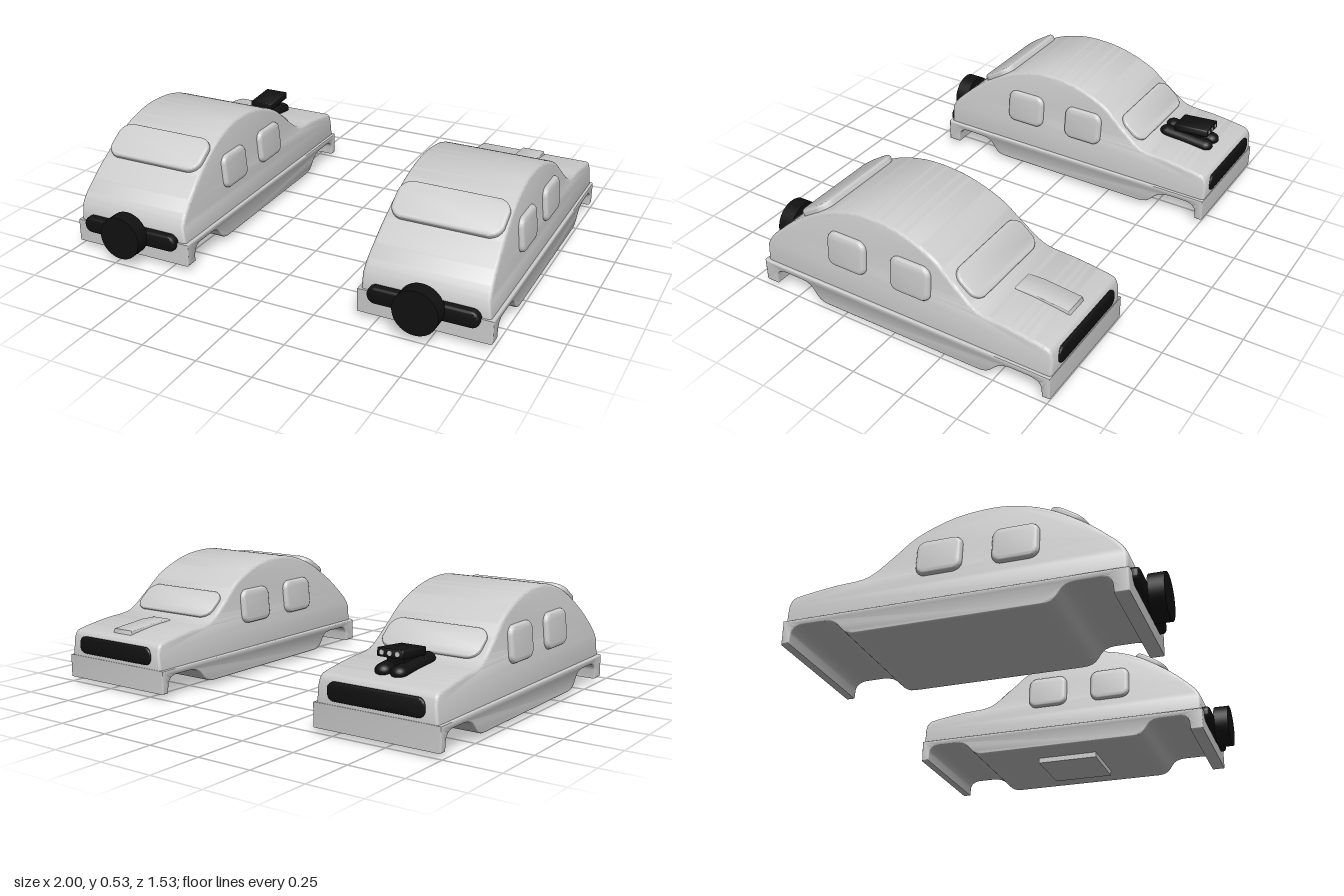
import * as THREE from 'three';
import { toCreasedNormals } from 'three/addons/utils/BufferGeometryUtils.js';

const grey = new THREE.MeshStandardMaterial({ color: 0xcccccc });
const black = new THREE.MeshStandardMaterial({ color: 0x111111 });

function add(parent, name, geometry, x = 0, y = 0, z = 0, material = grey) {
  const mesh = new THREE.Mesh(geometry, material);
  mesh.name = name;
  mesh.position.set(x, y, z);
  parent.add(mesh);
  return mesh;
}

// Extrudes an outline with rounded edges that stay inside it, centred in depth
function slab(shape, depth, bevel) {
  const g = new THREE.ExtrudeGeometry(shape, {
    depth: depth - 2 * bevel, bevelEnabled: true, bevelThickness: bevel, bevelSize: bevel,
    bevelOffset: -bevel, bevelSegments: 4, curveSegments: 10,
  });
  return g.translate(0, 0, bevel - depth / 2);
}

// Rounded rectangle panel facing z
function panel(w, h, r, depth, bevel) {
  const s = new THREE.Shape();
  const x = w / 2, y = h / 2;
  s.absarc(x - r, y - r, r, 0, Math.PI / 2);
  s.absarc(-x + r, y - r, r, Math.PI / 2, Math.PI);
  s.absarc(-x + r, -y + r, r, Math.PI, Math.PI * 1.5);
  s.absarc(x - r, -y + r, r, Math.PI * 1.5, Math.PI * 2);
  s.closePath();
  return toCreasedNormals(slab(s, depth, bevel), 0.7);
}

const pts = (list) => list.map(([z, y]) => new THREE.Vector2(z, y));

// Cabin and hood: side profile extruded across, sides leaning in toward the roof
function shellGeometry() {
  const s = new THREE.Shape();
  s.moveTo(-0.757, 0.115);
  s.lineTo(0.665, 0.115);
  s.lineTo(0.667, 0.205);
  s.splineThru(pts([[0.645, 0.245], [0.6, 0.292], [0.5, 0.378], [0.35, 0.472], [0.22, 0.517],
    [0.1, 0.53], [-0.05, 0.512], [-0.2, 0.452], [-0.3, 0.372], [-0.38, 0.308], [-0.44, 0.284],
    [-0.56, 0.275], [-0.7, 0.255], [-0.742, 0.24], [-0.757, 0.205]]));
  s.closePath();
  const g = slab(s, 2, 0.015);
  const p = g.attributes.position;
  for (let i = 0; i < p.count; i++) {
    const half = 0.281 - 0.036 * (p.getY(i) - 0.13) / 0.4;
    const inset = 1 - Math.abs(p.getZ(i));
    p.setZ(i, Math.sign(p.getZ(i)) * (half - inset));
  }
  return toCreasedNormals(g.rotateY(-Math.PI / 2), 0.6);
}

// Sill with the wheel arches cut right across
function sillGeometry() {
  const s = new THREE.Shape();
  s.moveTo(-0.76, 0.13);
  s.lineTo(-0.76, 0.025);
  s.lineTo(-0.725, 0.025);
  s.lineTo(-0.722, 0.065);
  s.quadraticCurveTo(-0.715, 0.1, -0.67, 0.102);
  s.lineTo(-0.59, 0.102);
  s.bezierCurveTo(-0.49, 0.1, -0.51, 0.025, -0.43, 0.025);
  s.lineTo(0.33, 0.025);
  s.bezierCurveTo(0.42, 0.025, 0.38, 0.1, 0.47, 0.102);
  s.lineTo(0.565, 0.102);
  s.quadraticCurveTo(0.605, 0.1, 0.612, 0.065);
  s.lineTo(0.615, 0.025);
  s.lineTo(0.675, 0.025);
  s.lineTo(0.675, 0.13);
  s.closePath();
  return toCreasedNormals(slab(s, 0.59, 0.007).rotateY(-Math.PI / 2), 0.6);
}

function createBody(name, x) {
  const car = new THREE.Group();
  car.name = name;
  car.position.x = x;
  add(car, 'cabinAndHood', shellGeometry());
  add(car, 'sill', sillGeometry());

  // Side windows
  for (const side of [-1, 1]) {
    for (const z of [0.222, -0.098]) {
      const w = add(car, 'sideWindow', panel(0.195, 0.16, 0.04, 0.05, 0.018), side * 0.259, 0.325, z);
      w.rotation.order = 'YXZ';
      w.rotation.set(-0.09, side * Math.PI / 2, 0);
    }
  }
  // End windows
  add(car, 'rearWindow', panel(0.485, 0.182, 0.06, 0.036, 0.012), 0, 0.44, 0.418).rotation.x = -1.0;
  add(car, 'windshield', panel(0.46, 0.155, 0.055, 0.03, 0.008), 0, 0.347, -0.333).rotation.x = -2.25;

  // Bumper bar, spare wheel and grille
  add(car, 'rearBar', panel(0.485, 0.078, 0.037, 0.05, 0.014), 0, 0.127, 0.675, black);
  add(car, 'spareWheel', new THREE.CylinderGeometry(0.1, 0.1, 0.07, 40).rotateX(Math.PI / 2), 0, 0.138, 0.73, black);
  add(car, 'grille', panel(0.45, 0.08, 0.034, 0.03, 0.008), 0, 0.185, -0.75, black);
  return car;
}

// Twin-lobed intake with a tilted air box on top
function createIntake() {
  const intake = new THREE.Group();
  intake.name = 'hoodIntake';
  intake.position.set(0, 0.283, -0.545);
  intake.rotation.x = -0.09;
  for (const side of [-1, 1]) {
    const lobe = new THREE.CapsuleGeometry(0.036, 0.2, 8, 20).rotateX(Math.PI / 2).scale(1, 0.75, 1);
    add(intake, 'intakeLobe', lobe, side * 0.036, 0, 0, black);
  }
  add(intake, 'intakeNeck', new THREE.BoxGeometry(0.08, 0.05, 0.12), 0, 0.028, -0.01, black);
  const box = new THREE.Group();
  box.name = 'airBox';
  box.position.set(0, 0.058, -0.023);
  box.rotation.x = 0.17;
  add(box, 'airBoxBody', panel(0.12, 0.036, 0.006, 0.17, 0.004), 0, 0, 0, black);
  for (const x of [-0.036, 0, 0.036]) {
    add(box, 'airBoxPort', new THREE.CylinderGeometry(0.01, 0.01, 0.006, 16).rotateX(Math.PI / 2), x, 0, -0.085);
  }
  intake.add(box);
  return intake;
}

// Wedge scoop rising toward the nose
function scoopGeometry() {
  const s = new THREE.Shape(pts([[-0.455, 0.25], [-0.455, 0.286], [-0.53, 0.288], [-0.705, 0.272], [-0.715, 0.235]]));
  return toCreasedNormals(slab(s, 0.112, 0.006).rotateY(-Math.PI / 2), 0.6);
}

export function createModel() {
  const model = new THREE.Group();
  model.name = 'carBodies';

  const first = createBody('carBodyWithIntake', -0.705);
  first.add(createIntake());

  const second = createBody('carBodyWithScoop', 0.705);
  add(second, 'hoodScoop', scoopGeometry());
  add(second, 'floorPlate', new THREE.BoxGeometry(0.29, 0.04, 0.295), 0, 0.02, -0.0375);

  model.add(first, second);
  return model;
}
